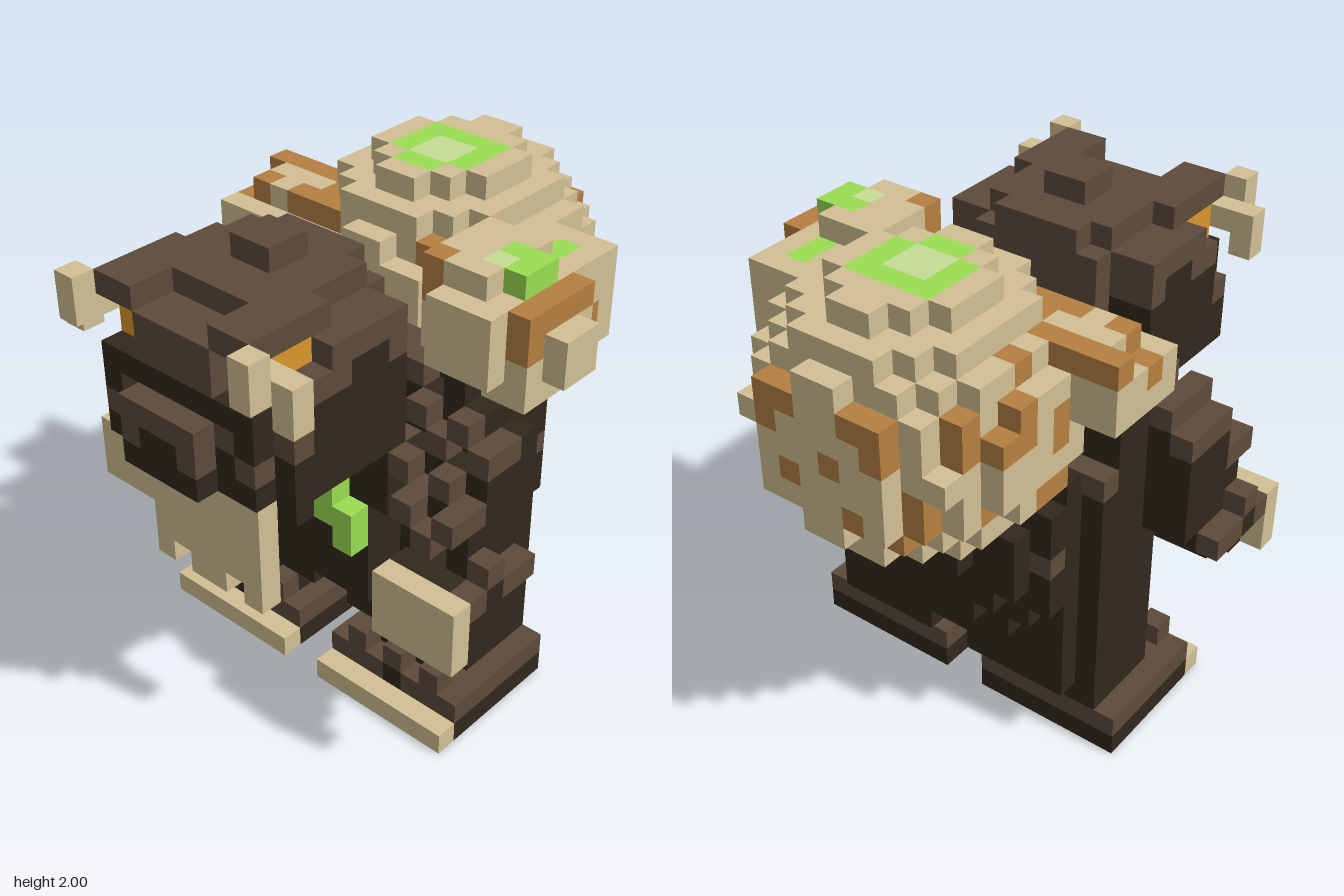
import * as THREE from 'three';

const U = 1 / 11; // edge of one cube
const COLORS = {
  darkFur: 0x32281d, brownFur: 0x5d4b3b, bone: 0xd2c094, amber: 0xdb962a,
  rust: 0xb58041, green: 0x9add52, paleGreen: 0xc6dc94,
};

export function createModel() {
  const cells = new Map();
  const key = (x, y, z) => `${x},${y},${z}`;

  const each = ([x0, x1, y0, y1, z0, z1], fn) => {
    for (let x = x0; x < x1; x++)
      for (let y = y0; y < y1; y++)
        for (let z = z0; z < z1; z++) fn(x, y, z);
  };
  const box = (part, color, ...b) =>
    each(b, (x, y, z) => cells.set(key(x, y, z), { part, color, x, y, z }));
  // box on both sides, given for +x
  const pair = (part, color, x0, x1, ...b) => {
    box('left' + part, color, x0, x1, ...b);
    box('right' + part, color, -x1, -x0, ...b);
  };
  const ball = (part, color, [cx, cy, cz], [rx, ry, rz]) =>
    each([-11, 11, 0, 22, -11, 11], (x, y, z) => {
      const d = ((x + 0.5 - cx) / rx) ** 2 + ((y + 0.5 - cy) / ry) ** 2 + ((z + 0.5 - cz) / rz) ** 2;
      if (d <= 1) cells.set(key(x, y, z), { part, color, x, y, z });
    });
  // recolour the cubes of a part that lie inside a box
  const paint = (part, color, ...b) => each(b, (x, y, z) => {
    const c = cells.get(key(x, y, z));
    if (c && c.part === part) c.color = color;
  });

  // small mushroom on the right shoulder
  const small = 'smallMushroom';
  box(small, 'bone', -8, -3, 17, 19, -4, 0);
  box(small, 'bone', -8, -3, 19, 20, -4, -3);
  box(small, 'bone', -7, -3, 19, 20, -3, -1);
  paint(small, 'rust', -8, -4, 19, 20, -4, -3);
  paint(small, 'rust', -8, -6, 18, 20, -2, -1);
  paint(small, 'rust', -5, -3, 19, 20, -2, -1);
  paint(small, 'rust', -6, -5, 17, 18, -1, 0);

  // mushroom on the left shoulder
  const side = 'sideMushroom';
  box(side, 'bone', 4, 7, 20, 21, -3, 1);
  box(side, 'bone', 7, 8, 20, 21, -2, 0);
  box(side, 'bone', 4, 9, 17, 20, -3, 1);
  box(side, 'bone', 4, 8, 16, 17, -3, 1);
  box(side, 'bone', 8, 9, 16, 17, -2, 1);
  box(side, 'bone', 9, 10, 17, 19, -2, 0);
  box(side, 'bone', 5, 8, 17, 20, 1, 2);
  box(side, 'bone', 5, 8, 16, 20, -6, -3);
  paint(side, 'rust', 8, 9, 19, 20, -3, 1);
  paint(side, 'rust', 8, 9, 18, 20, 0, 1);
  paint(side, 'rust', 4, 5, 19, 21, 0, 1);
  paint(side, 'rust', 7, 8, 16, 18, -5, -4);
  paint(side, 'rust', 8, 9, 17, 18, -3, -2);
  paint(side, 'green', 6, 8, 20, 21, -2, 0);
  paint(side, 'green', 6, 7, 19, 20, -5, -3);
  paint(side, 'paleGreen', 6, 7, 20, 21, -1, 0);

  // big mushroom on the back
  const cap = 'bigMushroom';
  ball(cap, 'bone', [0, 16.5, -5.5], [6.1, 5.85, 6]);
  const sideSpots = [ // y0, y1, z0, z1
    [16, 18, -5, -4], [16, 17, -3, -2], [17, 19, -7, -6], [17, 18, -9, -8],
    [14, 15, -6, -4], [14, 15, -8, -7], [13, 16, -10, -9], [11, 12, -7, -6], [19, 20, -4, -1],
  ];
  for (const s of sideSpots) {
    paint(cap, 'rust', 2, 7, ...s);
    paint(cap, 'rust', -7, -2, ...s);
  }
  const topSpots = [ // x0, x1, y0, y1, z0, z1
    [-5, -4, 17, 22, -9, -8], [-6, -5, 17, 22, -8, -7], [-5, -4, 17, 22, -6, -5],
    [5, 6, 16, 22, -6, -5],
  ];
  for (const s of topSpots) paint(cap, 'rust', ...s);
  const backSpots = [ // x0, x1, y0, y1
    [-3, -1, 18, 19], [1, 3, 18, 19], [-3, -2, 17, 18], [2, 3, 17, 18],
    [-1, 0, 16, 17], [1, 2, 15, 16], [-2, -1, 14, 15],
  ];
  for (const s of backSpots) paint(cap, 'rust', ...s, -11, -10);
  paint(cap, 'rust', -2, 2, 11, 12, -7, -6);
  paint(cap, 'green', -2, 2, 21, 22, -7, -4);
  paint(cap, 'green', -1, 1, 21, 22, -4, -3);
  paint(cap, 'paleGreen', -1, 1, 21, 22, -6, -4);

  // legs and feet
  pair('Leg', 'darkFur', 2, 6, 2, 3, -3, 2);
  pair('Leg', 'darkFur', 6, 7, 2, 4, -3, 1);
  pair('Leg', 'darkFur', 1, 6, 3, 4, -4, 2);
  pair('Foot', 'darkFur', 1, 8, 0, 1, -3, 3);
  pair('Foot', 'brownFur', 1, 8, 1, 2, -3, 3);
  pair('Foot', 'darkFur', 4, 5, 1, 2, 2, 3);
  pair('ToePlate', 'bone', 1, 8, 0, 1, 3, 4);
  for (const x of [2, 4, 6]) pair('Foot', 'brownFur', x, x + 1, 2, 3, 2, 3);

  // torso: core with trimmed corners, shoulders, belly steps, rounded hump
  const torso = [
    [-7, 7, 4, 14, -3, 1], [-6, 6, 4, 14, -4, 2], [-7, 7, 14, 16, -2, 2], [-5, 5, 16, 17, 0, 2],
    [-3, 3, 5, 7, 2, 3], [-4, 4, 6, 8, 2, 4], [-4, 4, 8, 14, 2, 4], [-5, 5, 11, 14, 2, 4],
    [-3, 3, 11, 13, 4, 5], [-2, 2, 10, 12, 4, 6],
    [-4, 4, 6, 7, -5, -4], [-5, 5, 7, 8, -5, -4], [-6, 6, 8, 13, -5, -4],
    [-3, 3, 7, 8, -6, -5], [-4, 4, 8, 9, -6, -5], [-5, 5, 9, 12, -6, -5],
    [-3, 3, 10, 11, -7, -6],
  ];
  for (const b of torso) box('torso', 'darkFur', ...b);
  paint('torso', 'brownFur', -2, 2, 11, 12, 5, 6);
  pair('BackTuft', 'brownFur', 5, 6, 10, 11, -5, -4);
  pair('ChestMoss', 'green', 3, 4, 9, 11, 4, 5);
  pair('ChestMoss', 'green', 2, 3, 10, 12, 4, 5);

  // arms: sloping forward with a staggered shaggy front
  const slope = [4, 5, 5, 4, 3, 3, 2];
  slope.forEach((front, i) => {
    const y = 10 + i, outer = y < 15 ? 9 : 23 - y;
    for (let x = y < 13 ? 6 : 5; x < outer; x++)
      pair('Arm', 'darkFur', x, x + 1, y, y + 1, 0, front - ((x + y) % 2));
  });
  pair('Arm', 'darkFur', 6, 9, 8, 10, 2, 5);
  pair('Arm', 'darkFur', 7, 9, 7, 8, 4, 5);
  pair('Arm', 'darkFur', 9, 10, 9, 10, 1, 5);
  pair('Arm', 'darkFur', 9, 10, 10, 11, 3, 4);
  pair('FistPlate', 'bone', 6, 10, 7, 10, 5, 6);

  // head: jaw, muzzle, nose bridge, stepped cap, brow prongs and crest
  box('head', 'darkFur', -4, 4, 13, 14, 3, 8);
  box('head', 'darkFur', -5, 5, 14, 17, 3, 9);
  box('head', 'darkFur', -4, 4, 14, 18, 3, 10);
  box('head', 'brownFur', -3, 3, 15, 20, 2, 3);
  box('head', 'brownFur', -4, 4, 18, 20, 3, 9);
  box('noseBridge', 'brownFur', -2, 2, 18, 20, 9, 10);
  pair('Temple', 'darkFur', 4, 5, 17, 18, 3, 8);
  pair('Temple', 'brownFur', 4, 5, 18, 19, 3, 8);
  pair('Temple', 'brownFur', 4, 5, 19, 20, 3, 7);
  pair('Temple', 'darkFur', 4, 5, 18, 19, 4, 6);
  box('muzzle', 'darkFur', -2, 2, 14, 17, 10, 11);
  pair('Eye', 'amber', 2, 4, 18, 20, 8, 9);
  pair('Eye', 'amber', 2, 4, 19, 20, 7, 8);
  box('browCap', 'brownFur', -2, 2, 20, 21, 2, 8);
  box('browCap', 'brownFur', -3, 3, 20, 21, 3, 8);
  pair('Brow', 'brownFur', 2, 4, 20, 21, 6, 10);
  box('crest', 'brownFur', -1, 1, 21, 22, 4, 6);
  pair('Horn', 'bone', 4, 6, 19, 20, 9, 10);
  pair('Horn', 'bone', 5, 6, 18, 19, 9, 10);
  pair('Horn', 'bone', 4, 5, 19, 21, 10, 11);

  // beard with a notched hem
  box('beard', 'bone', -3, 3, 8, 14, 8, 9);
  for (const x of [-2, 1]) cells.delete(key(x, 8, 8));

  // fur is lighter wherever a tuft is open to the sky
  for (const c of cells.values())
    if (c.color === 'darkFur' && [1, 2, 3].every((d) => !cells.has(key(c.x, c.y + d, c.z))))
      c.color = 'brownFur';

  // moustache tufts
  for (const [x, y] of [[2, 16], [1, 15], [3, 15]])
    for (const s of [x, -x - 1]) {
      paint('head', 'brownFur', s, s + 1, y, y + 1, 9, 10);
      paint('muzzle', 'brownFur', s, s + 1, y, y + 1, 10, 11);
    }

  return buildCubes(cells, key);
}

// Draws only the open faces, one mesh for each part and colour
function buildCubes(cells, key) {
  const batches = new Map();
  for (const c of cells.values()) {
    const id = c.part + ' ' + c.color;
    if (!batches.has(id)) batches.set(id, { part: c.part, color: c.color, pos: [], nor: [] });
    const { pos, nor } = batches.get(id);
    for (let axis = 0; axis < 3; axis++)
      for (const dir of [-1, 1]) {
        const n = [0, 0, 0];
        n[axis] = dir;
        if (cells.has(key(c.x + n[0], c.y + n[1], c.z + n[2]))) continue;
        const u = (axis + 1) % 3, v = (axis + 2) % 3;
        let ring = [[0, 0], [1, 0], [1, 1], [0, 1]];
        if (dir < 0) ring = ring.reverse();
        for (const i of [0, 1, 2, 0, 2, 3]) {
          const p = [c.x, c.y, c.z];
          if (dir > 0) p[axis] += 1;
          p[u] += ring[i][0];
          p[v] += ring[i][1];
          pos.push(p[0] * U, p[1] * U, p[2] * U);
          nor.push(...n);
        }
      }
  }

  const materials = {};
  for (const [name, color] of Object.entries(COLORS)) {
    materials[name] = new THREE.MeshStandardMaterial({ color });
    materials[name].name = name;
  }
  const model = new THREE.Group();
  model.name = 'mossyCreature';
  const groups = {};
  for (const { part, color, pos, nor } of batches.values()) {
    if (!pos.length) continue;
    if (!groups[part]) {
      groups[part] = new THREE.Group();
      groups[part].name = part;
      model.add(groups[part]);
    }
    const geometry = new THREE.BufferGeometry();
    geometry.setAttribute('position', new THREE.Float32BufferAttribute(pos, 3));
    geometry.setAttribute('normal', new THREE.Float32BufferAttribute(nor, 3));
    const mesh = new THREE.Mesh(geometry, materials[color]);
    mesh.name = part + ' ' + color;
    groups[part].add(mesh);
  }
  return model;
}
